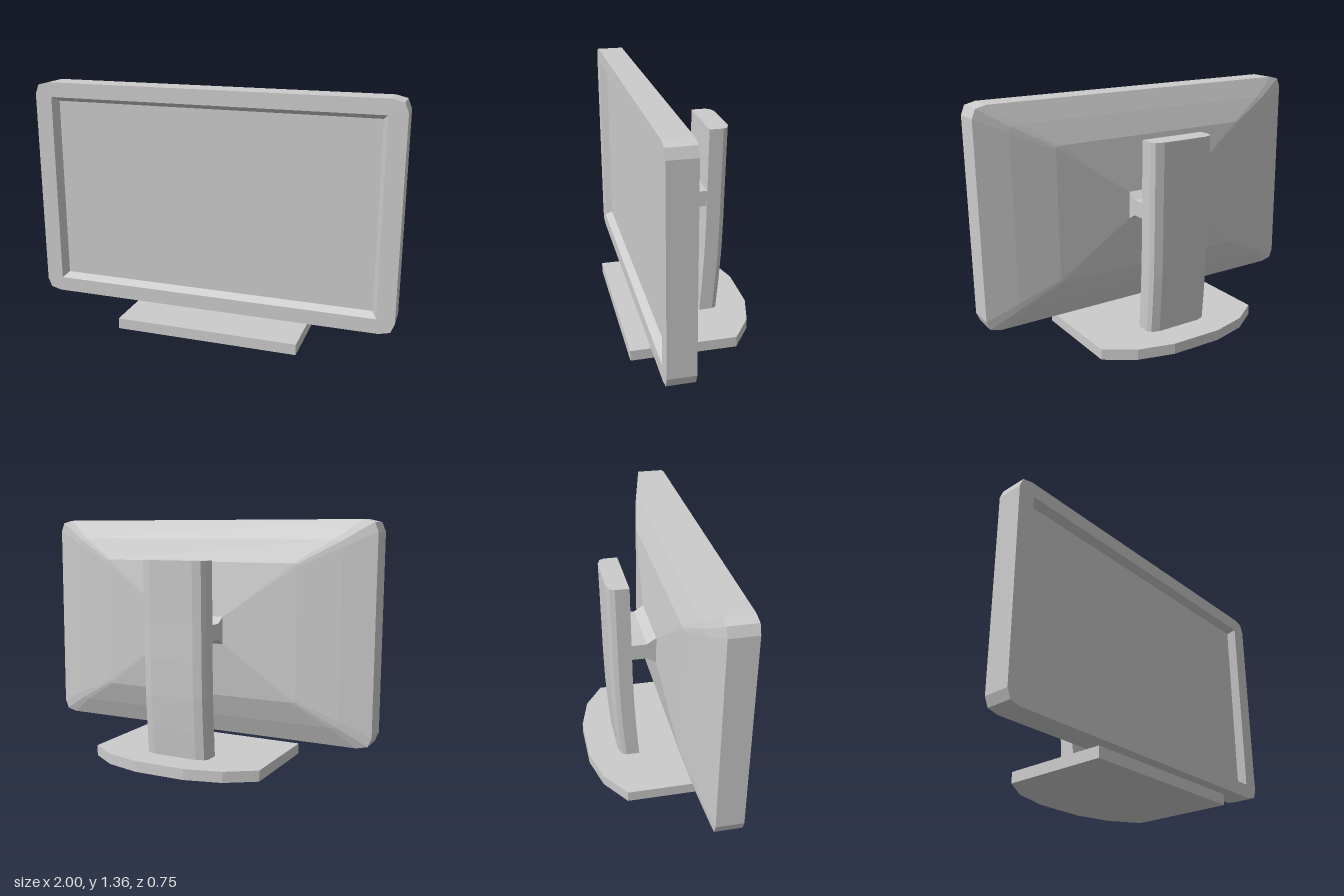
import * as THREE from 'three';

const material = new THREE.MeshStandardMaterial({ color: 0xcccccc, flatShading: true });

function part(name, geometry) {
  const mesh = new THREE.Mesh(geometry, material);
  mesh.name = name;
  return mesh;
}

// Skin a row of equal-length rings, each counter-clockwise seen from the far end.
function loft(rings, capStart, capEnd) {
  const pos = [];
  const tri = (a, b, c) => {
    const area = b.clone().sub(a).cross(c.clone().sub(a)).length();
    if (area > 1e-7) for (const p of [a, b, c]) pos.push(p.x, p.y, p.z);
  };
  const n = rings[0].length;
  for (let i = 0; i < rings.length - 1; i++) {
    for (let j = 0; j < n; j++) {
      const k = (j + 1) % n;
      tri(rings[i][j], rings[i][k], rings[i + 1][k]);
      tri(rings[i][j], rings[i + 1][k], rings[i + 1][j]);
    }
  }
  const last = rings[rings.length - 1];
  for (let j = 1; j < n - 1; j++) {
    if (capStart) tri(rings[0][0], rings[0][j + 1], rings[0][j]);
    if (capEnd) tri(last[0], last[j], last[j + 1]);
  }
  const g = new THREE.BufferGeometry();
  g.setAttribute('position', new THREE.Float32BufferAttribute(pos, 3));
  g.computeVertexNormals();
  return g;
}

// Rectangle with two-step chamfered corners; w and h are half sizes, c scales the chamfer.
const centreY = 0.75;
function frameRing(w, h, z, c = 0) {
  const corner = [[w, h - 0.065 * c], [w - 0.02 * c, h - 0.015 * c], [w - 0.08 * c, h]];
  const ring = [];
  for (const [sx, sy] of [[1, 1], [-1, 1], [-1, -1], [1, -1]]) {
    const pts = sx * sy > 0 ? corner : [...corner].reverse();
    for (const [x, y] of pts) ring.push(new THREE.Vector3(sx * x, centreY + sy * y, z));
  }
  return ring;
}

// Column cross-section: flat front, bevelled rear corners.
function columnRing([y, front, back]) {
  return [
    [-0.19, front], [0.19, front], [0.19, back + 0.04], [0.175, back + 0.015], [0.13, back],
    [-0.13, back], [-0.175, back + 0.015], [-0.19, back + 0.04],
  ].map(([x, z]) => new THREE.Vector3(x, y, z));
}

function extrude(points, depth) {
  const shape = new THREE.Shape(points.map(([x, y]) => new THREE.Vector2(x, y)));
  return new THREE.ExtrudeGeometry(shape, { depth, bevelEnabled: false });
}

export function createModel() {
  const model = new THREE.Group();
  model.name = 'monitor';

  // Housing: stepped domed back, straight rim, front bezel and sloped recess
  const inner = frameRing(0.88, 0.5, 0.245);
  model.add(part('housing', loft([
    frameRing(0.19, 0.077, 0.012),
    frameRing(0.6, 0.375, 0.05, 0.3),
    frameRing(0.83, 0.5, 0.095, 0.6),
    frameRing(1, 0.605, 0.14, 1),
    frameRing(1, 0.605, 0.287, 1),
    frameRing(0.905, 0.525, 0.287),
    inner,
  ], true, false)));

  // Display panel closing the recess
  const panel = new THREE.PlaneGeometry(1.76, 1);
  panel.translate(0, centreY, 0.245);
  model.add(part('displayPanel', panel));

  // Gently curved support column: height, front z, back z
  const columnRows = [
    [0.05, -0.085, -0.2], [0.22, -0.099, -0.215], [0.4, -0.111, -0.228],
    [0.6, -0.119, -0.235], [0.8, -0.123, -0.239], [1.14, -0.13, -0.247],
  ];
  model.add(part('column', loft(columnRows.map(columnRing), true, true)));

  // Mounting arm, flared where it meets the housing
  const arm = extrude([
    [-0.013, 0.673], [0.04, 0.705], [0.14, 0.705], [0.14, 0.793], [0.04, 0.793], [-0.013, 0.827],
  ], 0.37);
  arm.rotateY(Math.PI / 2);
  arm.translate(-0.185, 0, 0);
  model.add(part('mountingArm', arm));

  // Base plate with a faceted curved rear edge
  const base = extrude([
    [-0.51, -0.374], [0.51, -0.374], [0.51, 0.21], [0.35, 0.32], [0.147, 0.374],
    [-0.147, 0.374], [-0.35, 0.32], [-0.51, 0.21],
  ], 0.06);
  base.rotateX(-Math.PI / 2);
  model.add(part('base', base));

  return model;
}
